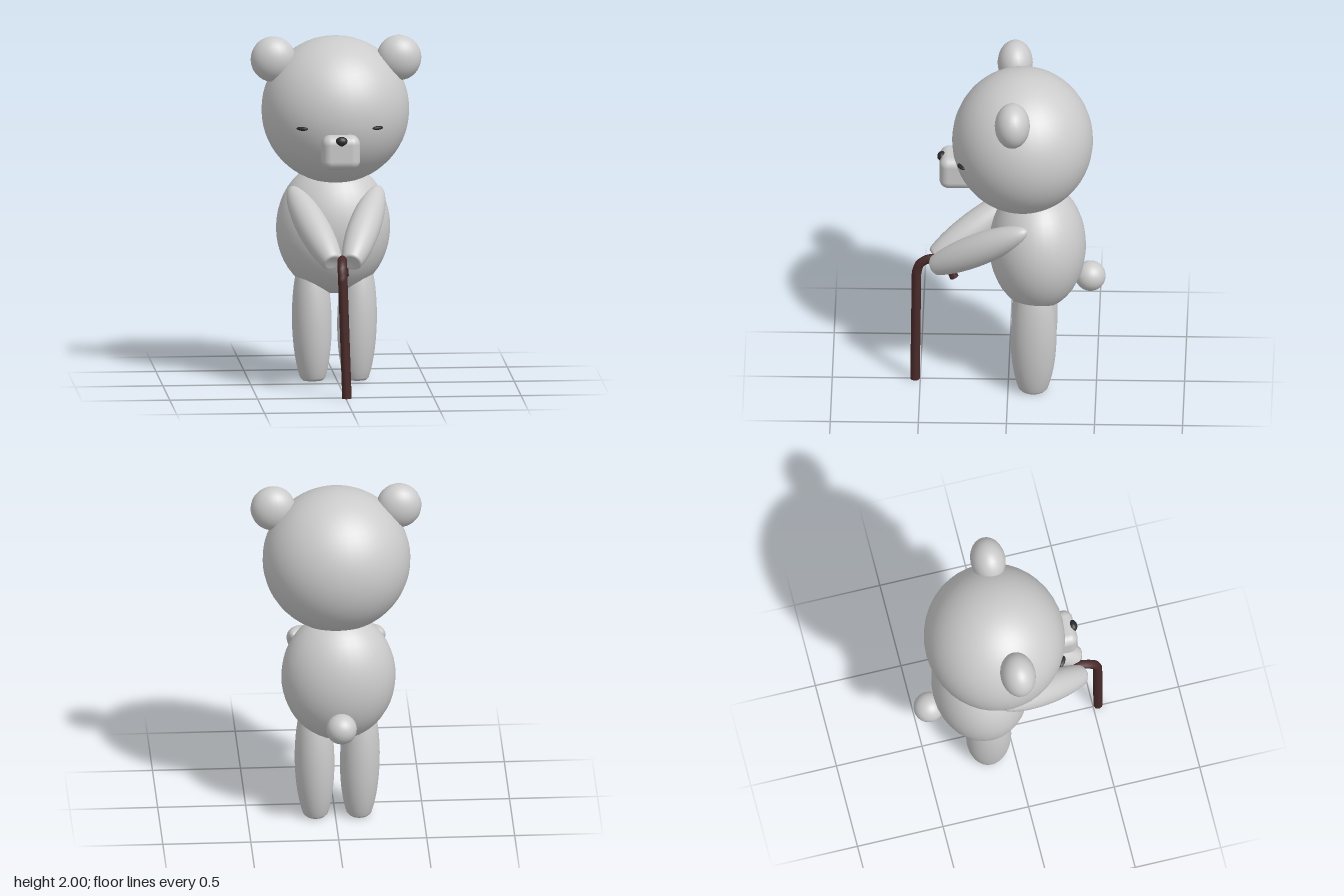
import * as THREE from 'three';
import { RoundedBoxGeometry } from 'three/addons/geometries/RoundedBoxGeometry.js';

const UP = new THREE.Vector3(0, 1, 0);
const CX = -0.012; // the bear's own centre line
const grey = new THREE.MeshStandardMaterial({ color: 0xcccccc });
const dark = new THREE.MeshStandardMaterial({ color: 0x2b2b2b });
const wood = new THREE.MeshStandardMaterial({ color: 0x4a2a2a });

export function createModel() {
  const bear = new THREE.Group();
  bear.name = 'bear';

  const add = (name, geometry, material, x, y, z) => {
    const mesh = new THREE.Mesh(geometry, material);
    mesh.name = name;
    mesh.position.set(x, y, z);
    bear.add(mesh);
    return mesh;
  };
  const ellipsoid = (name, material, [x, y, z], [rx, ry, rz], segs = 32) =>
    add(name, new THREE.SphereGeometry(1, segs, segs * 0.75).scale(rx, ry, rz), material, x, y, z);

  // Limb: spindle with a flat, softly rimmed end, running from the paw to the inner tip
  const limb = (name, paw, tip, rx, rz) => {
    const a = new THREE.Vector3(...paw), axis = new THREE.Vector3(...tip).sub(a);
    const pts = [[0, 0.012], [0.4, 0.01], [0.52, 0], [0.6, 0.012]].map(p => new THREE.Vector2(...p));
    const start = -Math.acos(0.64), steps = 20;
    for (let i = 0; i <= steps; i++) {
      const t = start + (Math.PI / 2 - start) * i / steps;
      const y = (Math.sin(t) - Math.sin(start)) / (1 - Math.sin(start));
      pts.push(new THREE.Vector2(i === steps ? 0 : Math.cos(t), 0.02 + 0.98 * y));
    }
    const mesh = add(name, new THREE.LatheGeometry(pts, 28).scale(rx, axis.length(), rz), grey, ...paw);
    mesh.quaternion.setFromUnitVectors(UP, axis.normalize());
  };

  // Head, body and tail
  ellipsoid('head', grey, [CX, 1.57, -0.08], [0.42, 0.42, 0.4], 40);
  ellipsoid('body', grey, [CX - 0.006, 0.88, -0.165], [0.325, 0.38, 0.275]);
  ellipsoid('tail', grey, [CX - 0.006, 0.68, -0.465], [0.087, 0.087, 0.087], 24);

  // Muzzle and nose
  add('muzzle', new RoundedBoxGeometry(0.215, 0.195, 0.24, 5, 0.05), grey, CX, 1.388, 0.27);
  const nose = ellipsoid('nose', dark, [CX, 1.457, 0.378], [0.035, 0.028, 0.026], 16);
  const np = nose.geometry.attributes.position;
  for (let i = 0; i < np.count; i++) { // narrow towards the lower end
    np.setX(i, np.getX(i) * (1 + Math.min(0, np.getY(i)) * 12));
  }
  nose.geometry.computeVertexNormals();

  // Paired parts
  for (const [side, s] of [['left', 1], ['right', -1]]) {
    const x = d => CX + s * d;
    ellipsoid(side + 'Ear', grey, [x(0.358), 1.87, -0.03], [0.128, 0.13, 0.1], 24);
    const eye = ellipsoid(side + 'Eye', dark, [x(0.215), 1.515, 0.262], [0.036, 0.011, 0.018], 16);
    eye.rotation.y = s * 0.55;
    limb(side + 'Leg', [x(0.123), 0.005, -0.142], [x(0.136), 0.77, -0.15], 0.113, 0.13);
    limb(side + 'Arm', [x(0.052), 0.765, 0.42], [x(0.25), 1.115, -0.11], 0.092, 0.092);
  }

  // Walking cane with a hooked handle
  const path = new THREE.CurvePath();
  const v = (x, y, z) => new THREE.Vector3(x, y, z);
  const bend = v(-0.017, 0.69, 0.522), end = v(0.008, 0.675, 0.307);
  path.add(new THREE.LineCurve3(v(0.006, 0.005, 0.53), bend));
  path.add(new THREE.CatmullRomCurve3([bend, v(-0.018, 0.745, 0.503), v(-0.016, 0.776, 0.46),
    v(-0.01, 0.783, 0.41), v(-0.002, 0.755, 0.345), end]));
  add('cane', new THREE.TubeGeometry(path, 60, 0.027, 8), wood, 0, 0, 0);
  for (const [t, dir] of [[0, -1], [1, 1]]) {
    const p = path.getPointAt(t);
    const cap = add('caneEnd', new THREE.CircleGeometry(0.027, 8), wood, p.x, p.y, p.z);
    cap.quaternion.setFromUnitVectors(v(0, 0, 1), path.getTangentAt(t).multiplyScalar(dir));
  }
  return bear;
}
